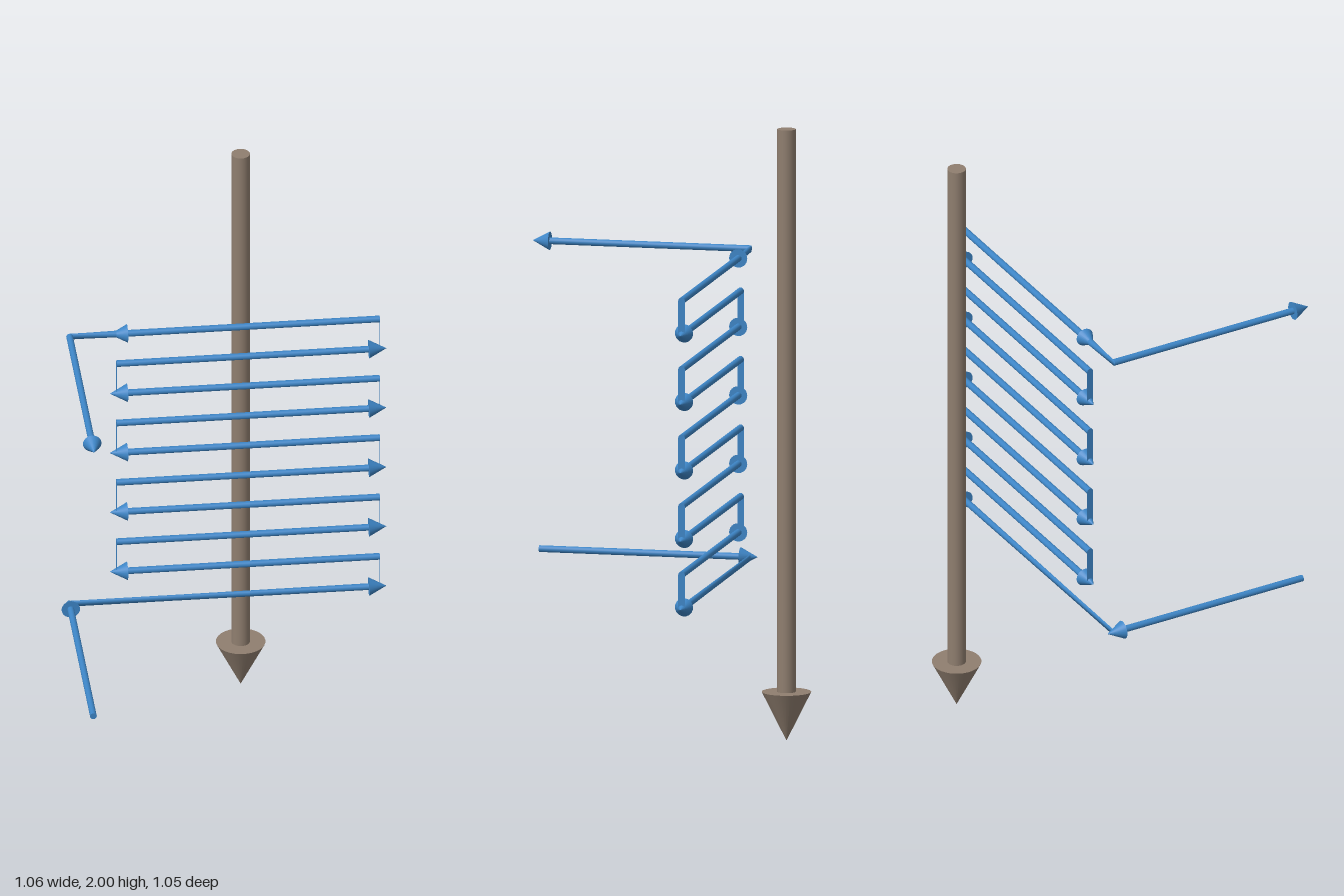
import * as THREE from 'three';

const R = 0.011;          // thin line radius
const ROWS = 10, Y0 = 0.492, STEP = 0.112;
const LEFT = -0.35, RIGHT = 0.503, CORNER = -0.502;
const BACK = -0.197, FRONT = 0.503;

export function createModel() {
  const model = new THREE.Group();
  const blue = new THREE.MeshStandardMaterial({ color: 0x3d85c6, side: THREE.DoubleSide });
  blue.name = 'flow blue';
  const brown = new THREE.MeshStandardMaterial({ color: 0x8f7e6f });
  brown.name = 'airflow brown';

  const add = (geometry, material, name) => {
    const mesh = new THREE.Mesh(geometry, material);
    mesh.name = name;
    model.add(mesh);
    return mesh;
  };

  const up = new THREE.Vector3(0, 1, 0);
  const aim = (geometry, from, to) => {
    const dir = to.clone().sub(from).normalize();
    return geometry.applyQuaternion(new THREE.Quaternion().setFromUnitVectors(up, dir));
  };

  // Round bar between two points
  const bar = (from, to) => {
    const g = aim(new THREE.CylinderGeometry(R, R, from.distanceTo(to), 16), from, to);
    const mid = from.clone().add(to).multiplyScalar(0.5);
    return g.translate(mid.x, mid.y, mid.z);
  };

  // Cone at the end of a bar, its tip reaching slightly past the end
  const head = (from, to, name) => {
    const g = aim(new THREE.ConeGeometry(0.03, 0.057, 24).translate(0, -0.0065, 0), from, to);
    add(g, blue, name).position.copy(to);
  };

  // Bar whose corner end ring turns to face along z, so it narrows to an edge
  const turningBar = (endX, y, name) => {
    const g = bar(new THREE.Vector3(CORNER, y, BACK), new THREE.Vector3(endX, y, BACK));
    const p = g.attributes.position;
    const middle = (CORNER + endX) / 2;
    for (let i = 0; i < p.count; i++) {
      if (p.getX(i) > middle) continue;
      p.setX(i, p.getX(i) + p.getZ(i) - BACK);
      p.setZ(i, BACK);
    }
    add(g, blue, name);
  };

  // Serpentine rows with alternating direction
  for (let i = 0; i < ROWS; i++) {
    const y = Y0 + i * STEP;
    const l = new THREE.Vector3(LEFT, y, BACK), r = new THREE.Vector3(RIGHT, y, BACK);
    const [from, to] = i % 2 ? [r, l] : [l, r];
    if (i === 0) turningBar(RIGHT, y, 'inletRow');
    else add(bar(from, to), blue, 'coilRow');
    head(from, to, 'coilRowHead');
    // Flat riser to the next row
    if (i < ROWS - 1) {
      const riser = add(new THREE.PlaneGeometry(2 * R, STEP), blue, 'riser');
      riser.rotation.y = Math.PI / 2;
      riser.position.set(to.x, y + STEP / 2, BACK);
    }
  }

  // Inlet and outlet legs
  const topY = Y0 + (ROWS - 1) * STEP;
  turningBar(LEFT, topY, 'outletRow');
  const leg = (y, z1, z2, name) => {
    const from = new THREE.Vector3(CORNER, y, z1), to = new THREE.Vector3(CORNER, y, z2);
    add(bar(from, to), blue, name);
    head(from, to, name + 'Head');
  };
  leg(Y0, FRONT, BACK, 'inletLeg');
  leg(topY, BACK, FRONT, 'outletLeg');

  // Large downward arrow behind the coil
  add(new THREE.CylinderGeometry(0.03, 0.03, 1.85, 32), brown, 'downArrowShaft').position.set(0.08, 1.075, -0.447);
  const tip = add(new THREE.ConeGeometry(0.08, 0.16, 32), brown, 'downArrowHead');
  tip.rotation.x = Math.PI;
  tip.position.set(0.08, 0.08, -0.447);

  return model;
}
